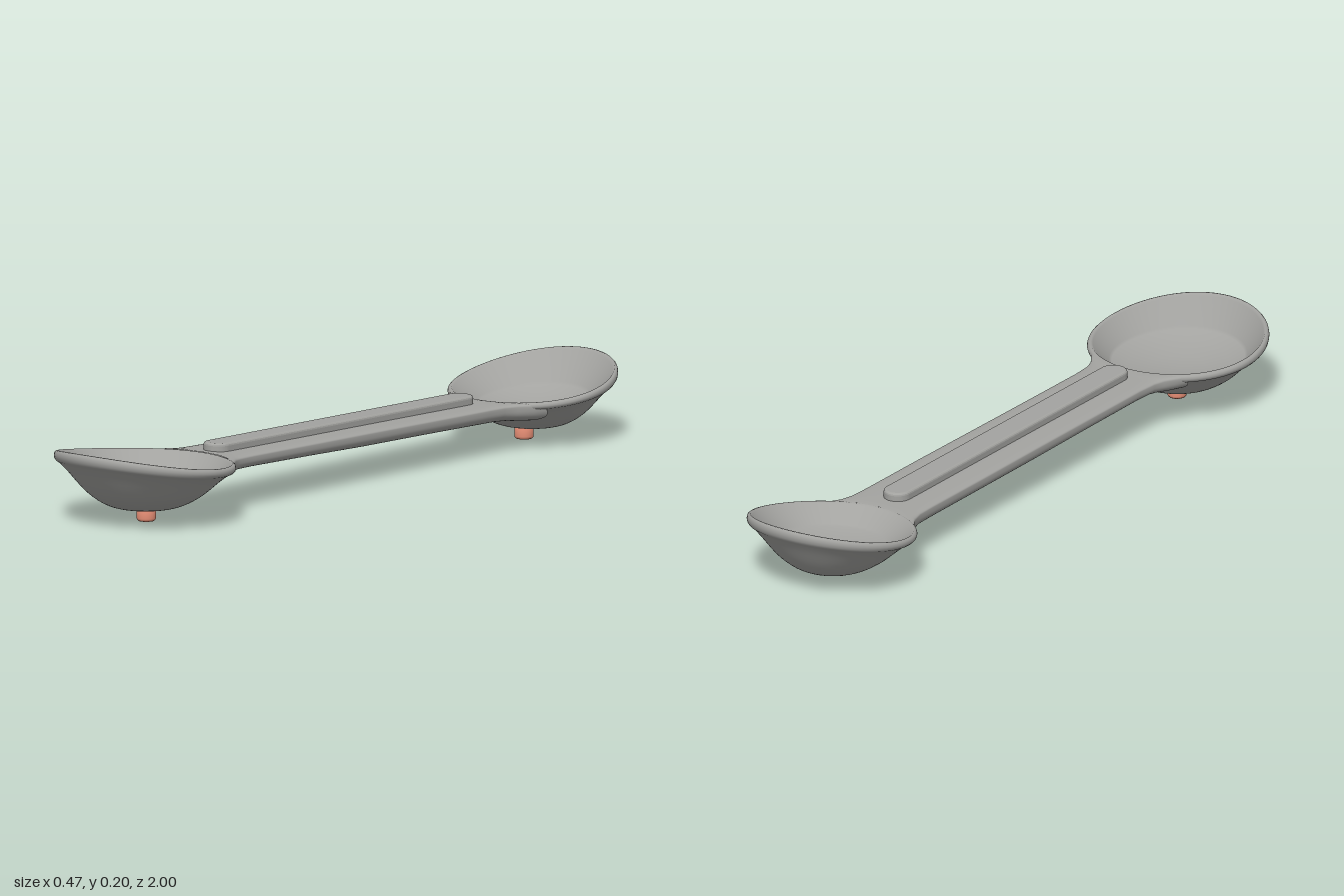
import * as THREE from 'three';
import { mergeVertices } from 'three/addons/utils/BufferGeometryUtils.js';

const grey = new THREE.MeshStandardMaterial({ color: 0xa3a3a0 });
grey.name = 'warm grey';
const greyDouble = grey;
greyDouble.side = THREE.DoubleSide;
const salmon = new THREE.MeshStandardMaterial({ color: 0xe08a72 });
salmon.name = 'salmon';

const FRONT = { z: 0.765, r: 0.235, base: 0.033, low: 0.147, rise: 0.058, power: 2 };
const BACK = { z: -0.78, r: 0.22, base: 0.028, low: 0.125, rise: 0.08, power: 1.7 };

function smooth(geometry) {
  geometry.deleteAttribute('uv');
  geometry.deleteAttribute('normal');
  const merged = mergeVertices(geometry, 1e-5);
  merged.computeVertexNormals();
  return merged;
}

// Bowl shell: a lathe of (radius fraction, height fraction) whose rim sweeps up
// towards the tip (local +z).
function bowl(b, floor) {
  const outer = new THREE.SplineCurve([
    [0, 0], [0.21, 0.01], [0.43, 0.09], [0.64, 0.31], [0.85, 0.66], [0.94, 0.79],
  ].map(([x, y]) => new THREE.Vector2(x, y))).getPoints(24);
  const lipAndInside = [
    [0.975, 0.82], [0.994, 0.86], [1, 0.91], [0.993, 0.96], [0.975, 0.99], [0.955, 1], [0.935, 0.96],
    [floor + 0.02, 0.58], [floor - 0.01, 0.54], [floor * 0.75, 0.45], [floor * 0.4, 0.37], [0, 0.34],
  ].map(([x, y]) => new THREE.Vector2(x, y));
  const geometry = new THREE.LatheGeometry([...outer, ...lipAndInside], 72);
  const p = geometry.attributes.position;
  for (let i = 0; i < p.count; i++) {
    const x = p.getX(i), h = p.getY(i), z = p.getZ(i);
    const t = Math.max(0, (1 + z) / 2);
    const rim = b.low + b.rise * Math.pow(t, b.power);
    p.setXYZ(i, x * b.r, b.base + h * (rim - b.base), z * b.r);
  }
  return smooth(geometry);
}

// Handle: rounded sections lofted along z, flared to meet both bowl rims.
function handle() {
  // [edge z, half width, top y, bottom y, tuck under the bowl]
  const rows = [
    [0.592, 0.15, 0.147, 0.097, 0.035], [0.565, 0.134, 0.147, 0.1, 0.01],
    [0.54, 0.117, 0.146, 0.102, 0], [0.51, 0.107, 0.145, 0.103, 0],
    [0.45, 0.103, 0.144, 0.102, 0], [0.2, 0.104, 0.14, 0.096, 0],
    [0, 0.105, 0.137, 0.09, 0], [-0.25, 0.107, 0.133, 0.086, 0],
    [-0.48, 0.107, 0.129, 0.081, 0], [-0.54, 0.109, 0.128, 0.08, 0],
    [-0.58, 0.12, 0.127, 0.079, 0], [-0.615, 0.143, 0.126, 0.077, -0.01],
    [-0.643, 0.163, 0.125, 0.074, -0.035],
  ];
  const N = 64, positions = [], index = [];
  const power = (v, e) => Math.sign(v) * Math.pow(Math.abs(v), e);
  rows.forEach(([edgeZ, w, top, bottom, tuck], j) => {
    const b = edgeZ > 0 ? FRONT : BACK;
    const r = b.r * 0.965;
    const blend = Math.min(1, Math.abs(edgeZ) / 0.5);
    const bow = (x) => r - Math.sqrt(r * r - x * x);
    const mid = top - 0.014;
    for (let i = 0; i < N; i++) {
      const a = (i / N) * Math.PI * 2;
      const c = Math.cos(a), s = Math.sin(a);
      const x = w * power(c, 0.4);
      const y = s > 0 ? mid + 0.014 * power(s, 0.45) : mid + (mid - bottom) * power(s, 0.75);
      const curve = Math.sign(edgeZ) * blend * (bow(x) - bow(w));
      positions.push(x, y, edgeZ + curve + tuck * Math.max(0, -s));
      if (j < rows.length - 1) {
        const n = (i + 1) % N, p = j * N;
        index.push(p + i, p + N + i, p + n, p + n, p + N + i, p + N + n);
      }
    }
  });
  const geometry = new THREE.BufferGeometry();
  geometry.setAttribute('position', new THREE.Float32BufferAttribute(positions, 3));
  geometry.setIndex(index);
  geometry.computeVertexNormals();
  return geometry;
}

// Raised rounded bar along the handle.
function ridge() {
  const r = 0.03, half = 0.51;
  const shape = new THREE.Shape();
  shape.absarc(0, half - r, r, 0, Math.PI, false);
  shape.absarc(0, -half + r, r, Math.PI, Math.PI * 2, false);
  const geometry = new THREE.ExtrudeGeometry(shape, {
    depth: 0.03, bevelEnabled: true, bevelSize: 0.007, bevelThickness: 0.007,
    bevelSegments: 3, curveSegments: 16,
  });
  geometry.rotateX(-Math.PI / 2);
  return geometry;
}

// Small foot with a softened lower edge.
function peg() {
  const profile = [[0, 0], [0.021, 0], [0.024, 0.003], [0.025, 0.007], [0.025, 0.042], [0, 0.042]];
  return new THREE.LatheGeometry(profile.map(([x, y]) => new THREE.Vector2(x, y)), 32);
}

export function createModel() {
  const group = new THREE.Group();
  group.name = 'doubleEndedSpoon';
  const add = (name, geometry, material, y, z) => {
    const mesh = new THREE.Mesh(geometry, material);
    mesh.name = name;
    mesh.position.set(0, y, z);
    group.add(mesh);
    return mesh;
  };

  add('frontBowl', bowl(FRONT, 0.74), grey, 0, FRONT.z);
  add('backBowl', bowl(BACK, 0.66), grey, 0, BACK.z).rotation.y = Math.PI;
  add('handle', handle(), greyDouble, 0, 0);
  add('handleRidge', ridge(), grey, 0.121, -0.005).rotation.x = -0.017;
  add('frontFoot', peg(), salmon, 0, 0.76);
  add('backFoot', peg(), salmon, 0, -0.745);
  return group;
}
